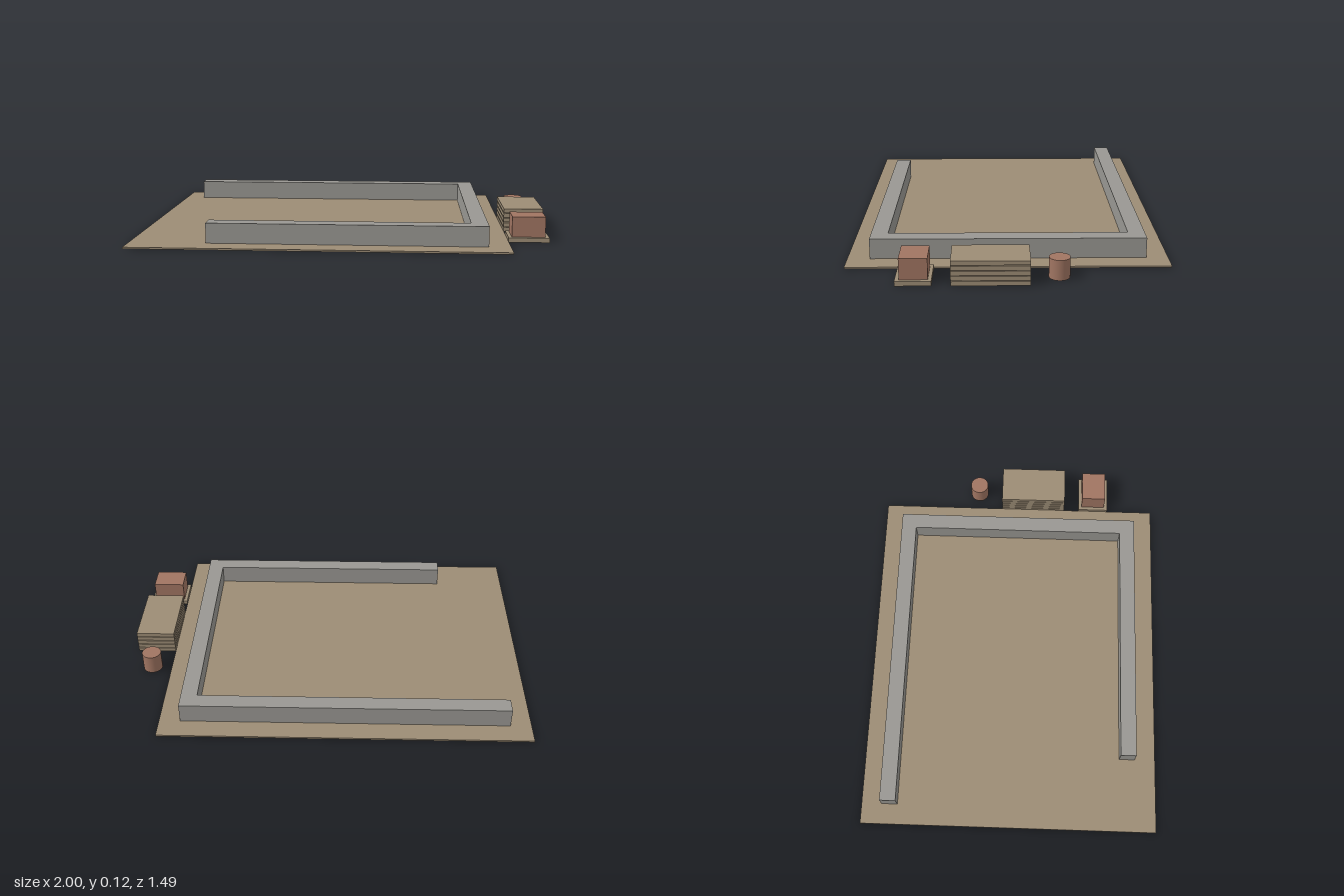
import * as THREE from 'three';

export function createModel() {
  const model = new THREE.Group();
  const mat = (name, color) => {
    const m = new THREE.MeshStandardMaterial({ color });
    m.name = name;
    return m;
  };
  const tan = mat('tan', 0x9c8c75);
  const grey = mat('concrete grey', 0x999792);
  const clay = mat('clay red', 0xa07562);

  const add = (name, geometry, material, parent = model) => {
    const mesh = new THREE.Mesh(geometry, material);
    mesh.name = name;
    parent.add(mesh);
    return mesh;
  };
  // Box given by its limits on each axis
  const box = (name, material, [x0, x1], [y0, y1], [z0, z1], parent) =>
    add(name, new THREE.BoxGeometry(x1 - x0, y1 - y0, z1 - z0), material, parent)
      .position.set((x0 + x1) / 2, (y0 + y1) / 2, (z0 + z1) / 2);

  // Ground slab
  box('groundSlab', tan, [-1, 0.803], [0, 0.008], [-0.747, 0.747]);

  // U-shaped wall, open on the right, with a shorter front arm
  const outline = [
    [-0.898, -0.645], [0.7, -0.645], [0.7, 0.642], [-0.63, 0.642],
    [-0.63, 0.562], [0.62, 0.562], [0.62, -0.565], [-0.898, -0.565],
  ].map(([x, z]) => new THREE.Vector2(x, -z));
  const wall = new THREE.ExtrudeGeometry(new THREE.Shape(outline), { depth: 0.101, bevelEnabled: false });
  wall.rotateX(-Math.PI / 2);
  add('wall', wall, grey).position.y = 0.004;

  // Stack of boards with narrow gaps
  const stack = new THREE.Group();
  stack.name = 'boardStack';
  model.add(stack);
  for (let i = 0; i < 5; i++) {
    const y = i * 0.024;
    box('board' + (i + 1), tan, [0.805, 1], [y, y + 0.02], [-0.095, 0.255], stack);
  }

  // Pallet carrying a block of bricks
  box('pallet', tan, [0.805, 1], [0, 0.022], [0.338, 0.5]);
  box('brickBlock', clay, [0.822, 0.981], [0.022, 0.121], [0.354, 0.481]);

  // Barrel
  add('barrel', new THREE.CylinderGeometry(0.048, 0.048, 0.096, 32), clay)
    .position.set(0.902, 0.048, -0.226);

  return model;
}
